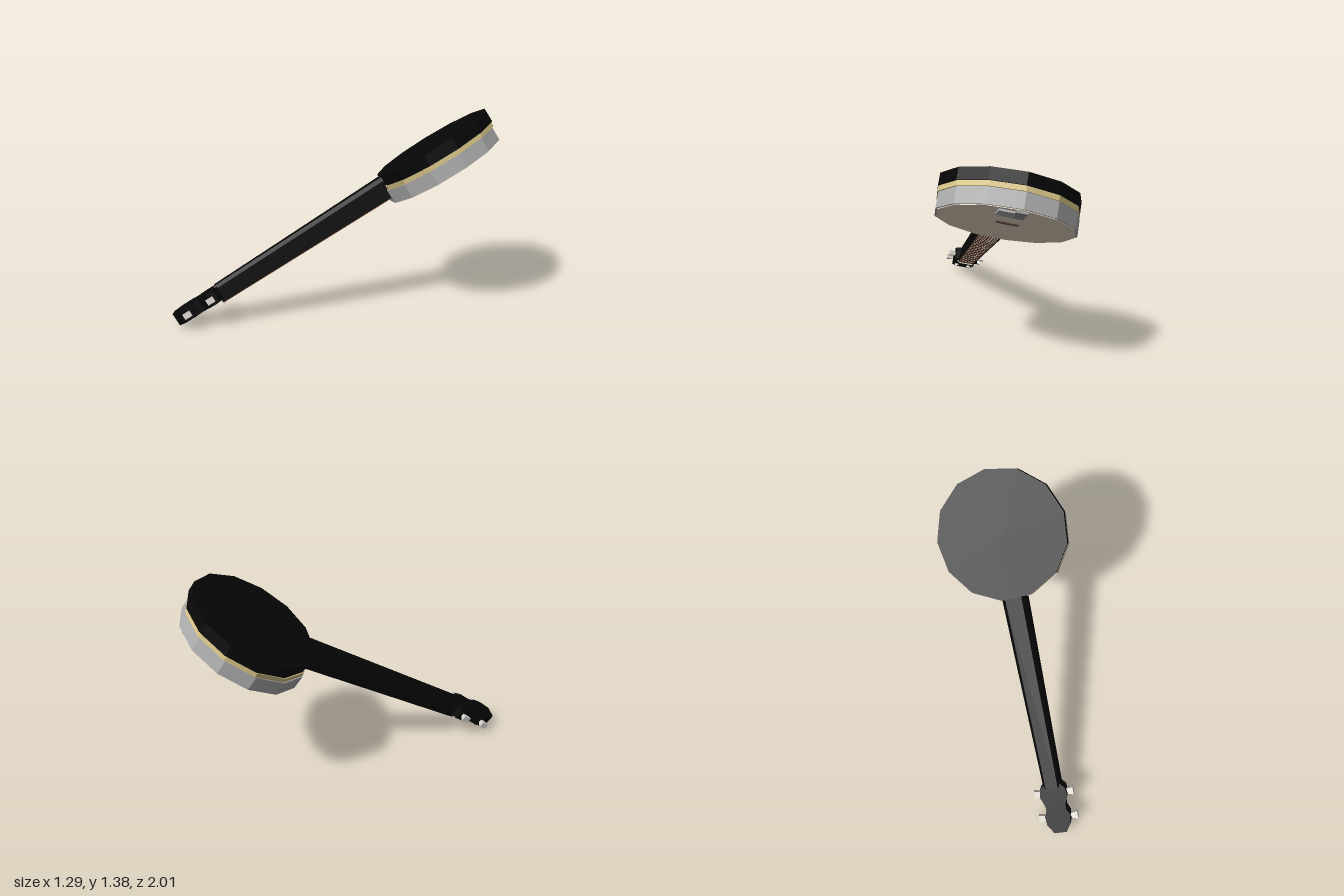
import * as THREE from 'three';

const mat = (name, color) => new THREE.MeshStandardMaterial({ name, color, flatShading: true });

export function createModel() {
  const black = mat('black lacquer', 0x060606);
  const metal = mat('rim grey', 0xacacac);
  const cream = mat('cream binding', 0xd6c386);
  const skin = mat('drum skin', 0xe9dcc8);
  const wood = mat('fretboard brown', 0x84563f);
  const pearl = mat('peg pale grey', 0xdcd8d2);
  const steel = mat('tailpiece grey', 0x989898);
  const dark = mat('bridge dark brown', 0x3a2018);

  // Local frame: x across, y from headstock to drum, z out of the playing face
  const banjo = new THREE.Group();
  banjo.name = 'banjo';
  const add = (name, geometry, material, x = 0, y = 0, z = 0) => {
    const mesh = new THREE.Mesh(geometry, material);
    mesh.name = name;
    mesh.position.set(x, y, z);
    banjo.add(mesh);
  };
  const box = (w, h, d) => new THREE.BoxGeometry(w, h, d);

  // Thirteen-sided drum, its layers stepping slightly away from the neck towards the back
  const layer = (name, radius, zFront, zBack, x, y, material) => {
    const turn = THREE.MathUtils.degToRad(94);
    const g = new THREE.CylinderGeometry(radius, radius, zFront - zBack, 13, 1, false, turn);
    add(name, g.rotateX(Math.PI / 2), material, x, y, (zFront + zBack) / 2);
  };
  layer('rim', 0.413, 0, -0.095, 0, 0.006, metal);
  layer('binding', 0.414, -0.095, -0.125, -0.005, 0.014, cream);
  layer('resonatorBack', 0.414, -0.125, -0.197, -0.008, 0.022, black);
  layer('drumSkin', 0.402, 0.004, -0.002, 0, 0.006, skin);

  // Tailpiece and bridge on the skin
  add('tailpiecePlate', box(0.09, 0.11, 0.012), metal, -0.055, 0.305, 0.01);
  add('tailpieceStrap', box(0.065, 0.14, 0.016), steel, 0.02, 0.325, 0.01);
  add('bridge', box(0.13, 0.007, 0.01), dark, 0, 0.07, 0.009);

  // Neck: a chamfered section growing wider and deeper towards the drum
  const start = 0.37, nut = 1.685, length = nut - start;
  const halfWidth = (t) => 0.076 - 0.018 * (t - start) / length;
  const depthScale = (t) => 1.22 - 0.22 * (t - start) / length;
  const top = -0.036;
  const tapered = (points) => {
    const shape = new THREE.Shape(points.map(([x, z]) => new THREE.Vector2(x, z)));
    const g = new THREE.ExtrudeGeometry(shape, { depth: length, bevelEnabled: false });
    g.rotateX(Math.PI / 2).translate(0, -start, 0);
    const p = g.attributes.position;
    for (let i = 0; i < p.count; i++) {
      const t = -p.getY(i);
      p.setX(i, p.getX(i) * halfWidth(t));
      p.setZ(i, top + p.getZ(i) * depthScale(t));
    }
    g.computeVertexNormals();
    return g;
  };
  add('neck', tapered([[-1, 0], [-1, -0.1], [-0.7, -0.121], [0.7, -0.121], [1, -0.1], [1, 0]]), black);
  add('fretboard', tapered([[-0.98, 0], [0.86, 0], [0.86, 0.004], [-0.98, 0.004]]), wood);

  // Frets get closer together towards the drum
  for (let i = 1; i <= 22; i++) {
    const t = nut * Math.pow(2, -i / 12);
    if (t > 0.42) add('fret', box(halfWidth(t) * 1.7, 0.0035, 0.002), pearl, -0.004, -t, -0.031);
  }
  add('nut', box(0.104, 0.014, 0.02), pearl, 0, -nut, -0.036);
  add('drone string', box(0.003, length, 0.002), pearl, 0.022, -(start + nut) / 2, -0.03);

  // Headstock with two lobes and a waist
  const side = [[0.058, 1.665], [0.085, 1.695], [0.092, 1.75], [0.068, 1.815], [0.068, 1.845],
    [0.085, 1.885], [0.08, 1.95], [0.042, 2.01]];
  const outline = [...side.map(([x, t]) => [x, -t]), ...side.map(([x, t]) => [-x, -t]).reverse()];
  const head = new THREE.Shape(outline.map(([x, y]) => new THREE.Vector2(x, y)));
  add('headstock', new THREE.ExtrudeGeometry(head, { depth: 0.09, bevelEnabled: false }), black, 0, 0, -0.145);

  // Tuning pegs, shafts and string posts
  [-1, 1].forEach((s) => [1.735, 1.91].forEach((t) => {
    const peg = new THREE.CylinderGeometry(0.038, 0.023, 0.045, 4, 1, false, Math.PI / 4);
    peg.scale(1, 1, 0.75).rotateZ(-s * Math.PI / 2);
    add('tuningPeg', peg, pearl, s * 0.11, -t, -0.1);
    add('pegShaft', box(0.04, 0.014, 0.014), wood, s * 0.08, -t, -0.1);
    const post = new THREE.CylinderGeometry(0.016, 0.016, 0.016, 6).rotateX(Math.PI / 2);
    add('stringPost', post, pearl, s * 0.046, -t, -0.05);
  }));

  // Lean the instrument, playing face turned down
  const d = new THREE.Vector3(0.394, 0.505, -0.768).normalize();
  const n = new THREE.Vector3(0.445, -0.839, -0.32);
  const u = new THREE.Vector3().crossVectors(d, n).normalize();
  banjo.quaternion.setFromRotationMatrix(new THREE.Matrix4().makeBasis(u, d, n.crossVectors(u, d)));
  banjo.position.set(0.273, 0.987, -0.608);

  const model = new THREE.Group();
  model.name = 'model';
  model.add(banjo);
  return model;
}
